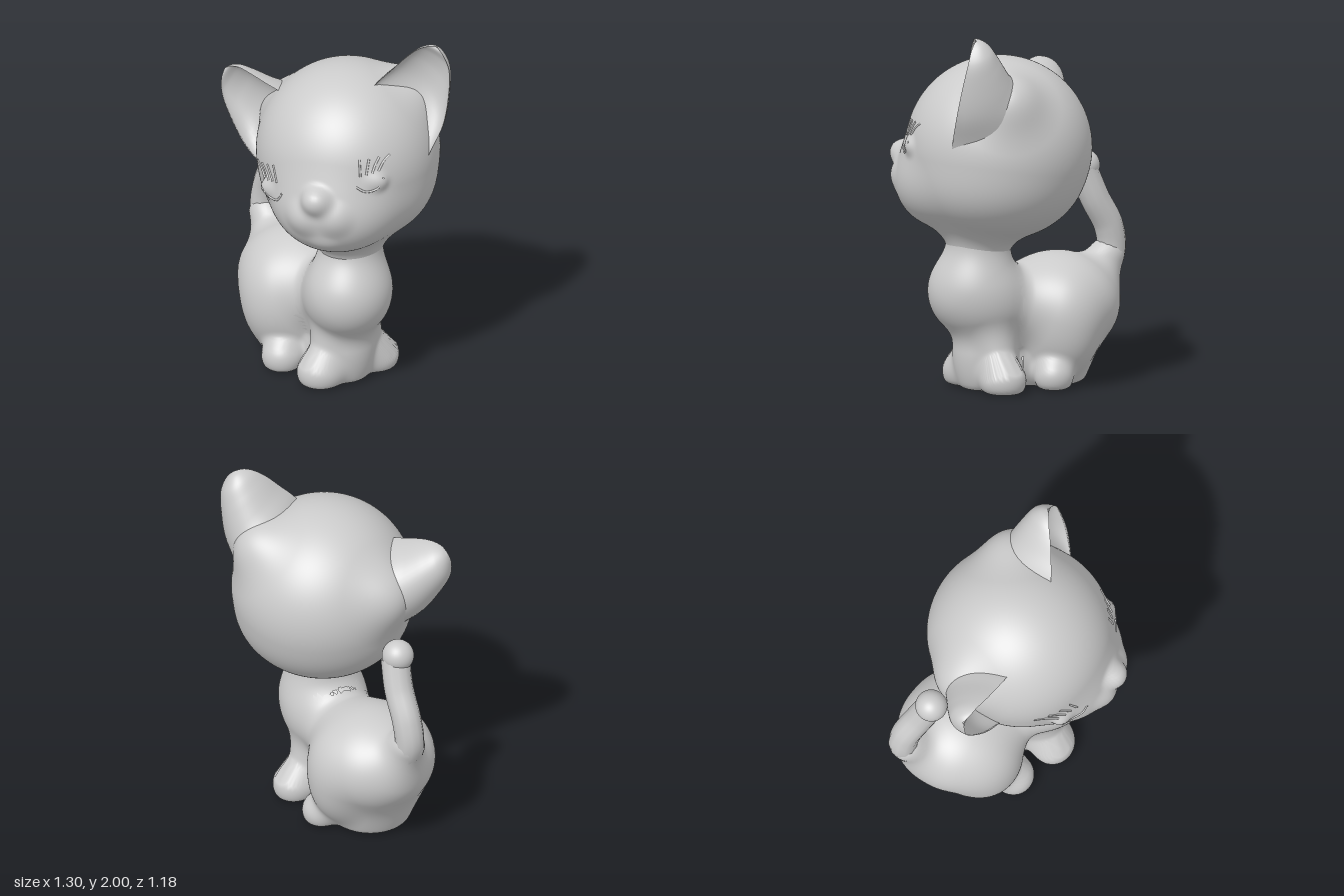
import * as THREE from 'three';
import { mergeVertices } from 'three/addons/utils/BufferGeometryUtils.js';

const V = (x, y, z) => new THREE.Vector3(x, y, z);
const material = new THREE.MeshStandardMaterial({ color: 0xcccccc, side: THREE.DoubleSide });

// Head frame: tilted so the left ear is higher
const HEAD = V(0.08, 1.33, -0.03);
const TILT = 0.237;
const onHead = (u, v) => [
  HEAD.x + u * Math.cos(TILT) - v * Math.sin(TILT),
  HEAD.y + u * Math.sin(TILT) + v * Math.cos(TILT),
];

// Soft volumes: signed distances of an ellipsoid and a capsule, each with a blend width k
const ellipsoid = ([cx, cy, cz], [rx, ry, rz], k = 0.1) => ({
  k,
  d(x, y, z) {
    const a = (x - cx) / rx, b = (y - cy) / ry, c = (z - cz) / rz;
    const k0 = Math.hypot(a, b, c), k1 = Math.hypot(a / rx, b / ry, c / rz);
    return k1 < 1e-5 ? -Math.min(rx, ry, rz) : k0 * (k0 - 1) / k1;
  },
});
const ball = (c, r, k) => ellipsoid(c, [r, r, r], k);
const capsule = ([ax, ay, az], [bx, by, bz], r, k = 0.1) => ({
  k,
  d(x, y, z) {
    const ux = bx - ax, uy = by - ay, uz = bz - az;
    let t = ((x - ax) * ux + (y - ay) * uy + (z - az) * uz) / (ux * ux + uy * uy + uz * uz);
    t = Math.min(1, Math.max(0, t));
    return Math.hypot(x - ax - t * ux, y - ay - t * uy, z - az - t * uz) - r;
  },
});
// Smooth union of the volumes, cut at the ground with a rounded edge
const smooth = (a, b, k) => Math.max(k - Math.abs(a - b), 0) ** 2 / (4 * k);
const blend = (parts) => (x, y, z) => {
  let f = parts[0].d(x, y, z);
  for (let i = 1; i < parts.length; i++) {
    const g = parts[i].d(x, y, z);
    f = Math.min(f, g) - smooth(f, g, parts[i].k);
  }
  const floor = 0.004 - y;
  return Math.max(f, floor) + smooth(f, floor, 0.03);
};

// A sphere whose vertices are pushed out from c onto the blended surface; faces failing keep are dropped
function skin(name, c, field, seg, keep = () => true) {
  let geo = new THREE.SphereGeometry(1, seg, Math.round(seg * 0.7));
  geo.deleteAttribute('uv');
  geo.deleteAttribute('normal');
  geo = mergeVertices(geo, 1e-5);
  const pos = geo.attributes.position, d = V(0, 0, 0);
  for (let i = 0; i < pos.count; i++) {
    d.fromBufferAttribute(pos, i).normalize();
    let t = 0.02;
    for (let n = 0; n < 60; n++) t -= 0.7 * field(c[0] + d.x * t, c[1] + d.y * t, c[2] + d.z * t);
    pos.setXYZ(i, c[0] + d.x * t, c[1] + d.y * t, c[2] + d.z * t);
  }
  const all = geo.index.array, kept = [];
  for (let i = 0; i < all.length; i += 3) {
    const face = [all[i], all[i + 1], all[i + 2]];
    if (face.every((v) => keep(pos.getX(v), pos.getZ(v)))) kept.push(...face);
  }
  geo.setIndex(kept);
  geo.computeVertexNormals();
  return named(name, geo);
}

function named(name, geo) {
  const mesh = new THREE.Mesh(geo, material);
  mesh.name = name;
  return mesh;
}

const tube = (name, points, r, seg = 12) =>
  named(name, new THREE.TubeGeometry(new THREE.CatmullRomCurve3(points), seg, r, 12));

// Cupped ear lofted from base to tip: inner edge, outer edge, [back bulge, front hollow]
const EAR = [
  [[0.20, 1.70, 0.10], [0.52, 1.30, 0.10], [0.38, 0.0]],
  [[0.26, 1.79, 0.08], [0.565, 1.42, 0.08], [0.36, 0.06]],
  [[0.34, 1.87, 0.05], [0.625, 1.57, 0.04], [0.27, 0.12]],
  [[0.41, 1.94, 0.02], [0.645, 1.74, 0.0], [0.19, 0.10]],
  [[0.47, 1.985, -0.01], [0.64, 1.87, -0.03], [0.12, 0.05]],
  [[0.52, 2.0, -0.03], [0.605, 1.95, -0.04], [0.06, 0.01]],
  [[0.56, 1.995, -0.05], [0.57, 1.99, -0.05], [0.005, 0]],
];
function ear(name, mirrored) {
  const place = ([x, y, z]) => {
    if (!mirrored) return V(x, y, z);
    const dx = x - HEAD.x, dy = y - HEAD.y;
    const u = dx * Math.cos(TILT) + dy * Math.sin(TILT);
    const v = dy * Math.cos(TILT) - dx * Math.sin(TILT);
    return V(...onHead(0.015 - u, v - 0.02), z - 0.04);
  };
  let a = new THREE.CatmullRomCurve3(EAR.map((r) => place(r[0])));
  let b = new THREE.CatmullRomCurve3(EAR.map((r) => place(r[1])));
  if (mirrored) [a, b] = [b, a];
  const depth = new THREE.CatmullRomCurve3(EAR.map((r) => V(r[2][0], r[2][1], 0)));
  const rows = 30, n = 48, pos = [], index = [];
  for (let i = 0; i <= rows; i++) {
    const p = a.getPoint(i / rows), q = b.getPoint(i / rows), e = depth.getPoint(i / rows);
    for (let j = 0; j < n; j++) {
      const t = (j / n) * Math.PI * 2, s = Math.sin(t);
      const m = p.clone().lerp(q, 0.5 + 0.5 * Math.cos(t));
      pos.push(m.x, m.y, m.z - (s > 0 ? e.x * s : -e.y * s));
      if (i === rows) continue;
      const k = i * n + j, l = i * n + (j + 1) % n;
      index.push(k, l, k + n, l, l + n, k + n);
    }
  }
  const geo = new THREE.BufferGeometry();
  geo.setAttribute('position', new THREE.Float32BufferAttribute(pos, 3));
  geo.setIndex(index);
  geo.computeVertexNormals();
  return named(name, geo);
}

export function createModel() {
  const model = new THREE.Group();
  model.name = 'sittingKitten';

  // Head: skull, jaw, muzzle, neck stub, ear roots, whisker pads, lower lip, nose and eyelids
  const headField = blend([
    ellipsoid([0.075, 1.33, -0.03], [0.497, 0.497, 0.505]),
    ellipsoid([0.085, 1.17, -0.01], [0.455, 0.325, 0.45], 0.06),
    ellipsoid([0.08, 1.13, 0.3], [0.29, 0.23, 0.23], 0.14),
    capsule([0.12, 1.0, 0.07], [0.12, 0.76, 0.075], 0.16, 0.14),
    ball([...onHead(0.38, 0.22), -0.19], 0.1, 0.2),
    ball([...onHead(-0.365, 0.2), -0.22], 0.1, 0.2),
    ball([-0.015, 1.15, 0.45], 0.1, 0.04),
    ball([0.14, 1.165, 0.455], 0.1, 0.04),
    ellipsoid([0.085, 1.02, 0.44], [0.08, 0.05, 0.06], 0.04),
    ellipsoid([0.05, 1.265, 0.525], [0.075, 0.07, 0.065], 0.05),
    ellipsoid([0.33, 1.36, 0.37], [0.07, 0.05, 0.045], 0.04),
    ellipsoid([-0.24, 1.22, 0.33], [0.07, 0.05, 0.045], 0.04),
  ]);
  model.add(skin('head', [0.08, 1.3, 0.03], headField, 200));
  model.add(ear('leftEar', false), ear('rightEar', true));

  // Closed eyes: a lid line and a fan of lashes laid on the face
  const onFace = (u, v) => {
    const [x, y] = onHead(u, v);
    let z = 0.75;
    for (let n = 0; n < 50; n++) z -= 0.7 * headField(x, y, z);
    return V(x, y, z);
  };
  for (const side of [1, -1]) {
    const eye = new THREE.Group();
    eye.name = side > 0 ? 'leftEye' : 'rightEye';
    const at = (u, v) => onFace(-0.04 + side * (0.285 + u), -0.025 + v);
    eye.add(tube('lidLine', [at(-0.07, 0), at(-0.03, -0.04), at(0.03, -0.04), at(0.07, 0.01)], 0.006));
    for (let i = 0; i < 4; i++) {
      const u = -0.04 + i * 0.03, lean = 0.005 + i * 0.008;
      eye.add(tube('lash', [at(u, 0.05), at(u + lean, 0.09), at(u + lean * 2, 0.14 - i * 0.01)], 0.006, 8));
    }
    model.add(eye);
  }

  // Body: rump, thighs, tail root, chest, neck, back, belly, then the four legs and paws
  const body = blend([
    ellipsoid([-0.262, 0.425, -0.257], [0.335, 0.288, 0.335]),
    ellipsoid([-0.23, 0.17, -0.2], [0.25, 0.28, 0.25], 0.12),
    ellipsoid([-0.32, 0.33, -0.1], [0.21, 0.27, 0.21], 0.08),
    ellipsoid([-0.1, 0.33, -0.34], [0.17, 0.26, 0.19], 0.08),
    capsule([-0.42, 0.45, -0.4], [-0.505, 0.66, -0.46], 0.095, 0.12),
    ellipsoid([0.115, 0.54, 0.1], [0.235, 0.25, 0.25], 0.06),
    capsule([0.12, 0.6, 0.075], [0.12, 0.95, 0.07], 0.174, 0.08),
    capsule([0.06, 0.46, 0.02], [-0.2, 0.44, -0.2], 0.2, 0.1),
    ellipsoid([0.075, 0.2, 0.045], [0.17, 0.3, 0.18], 0.08),
    capsule([0.06, 0.11, 0.03], [-0.2, 0.11, -0.18], 0.14, 0.05),
    capsule([0.15, 0.4, 0.0], [0.18, 0.1, -0.08], 0.085, 0.06),
    capsule([0.03, 0.4, 0.1], [0.0, 0.1, 0.16], 0.085, 0.06),
    ellipsoid([0.22, 0.075, -0.1], [0.115, 0.12, 0.125], 0.06),
    ellipsoid([-0.02, 0.075, 0.195], [0.125, 0.12, 0.118], 0.06),
    ball([-0.27, 0.075, 0.06], 0.112, 0.05),
    ball([0.01, 0.075, -0.32], 0.105, 0.05),
  ]);
  // Two halves of one surface, split across the waist with a slight overlap
  model.add(skin('chestAndForelegs', [0.09, 0.42, 0.05], body, 180, (x, z) => x + z > -0.1));
  model.add(skin('rumpAndHindLegs', [-0.22, 0.35, -0.2], body, 180, (x, z) => x + z < -0.02));

  // Tail curling up to touch the head, with a round tip
  model.add(tube('tail', [V(-0.44, 0.48, -0.41), V(-0.52, 0.68, -0.478), V(-0.505, 0.82, -0.47),
    V(-0.445, 0.98, -0.41), V(-0.41, 1.14, -0.355)], 0.08, 40));
  const tip = named('tailTip', new THREE.SphereGeometry(0.087, 32, 24));
  tip.position.set(-0.425, 1.16, -0.355);
  model.add(tip);
  return model;
}
